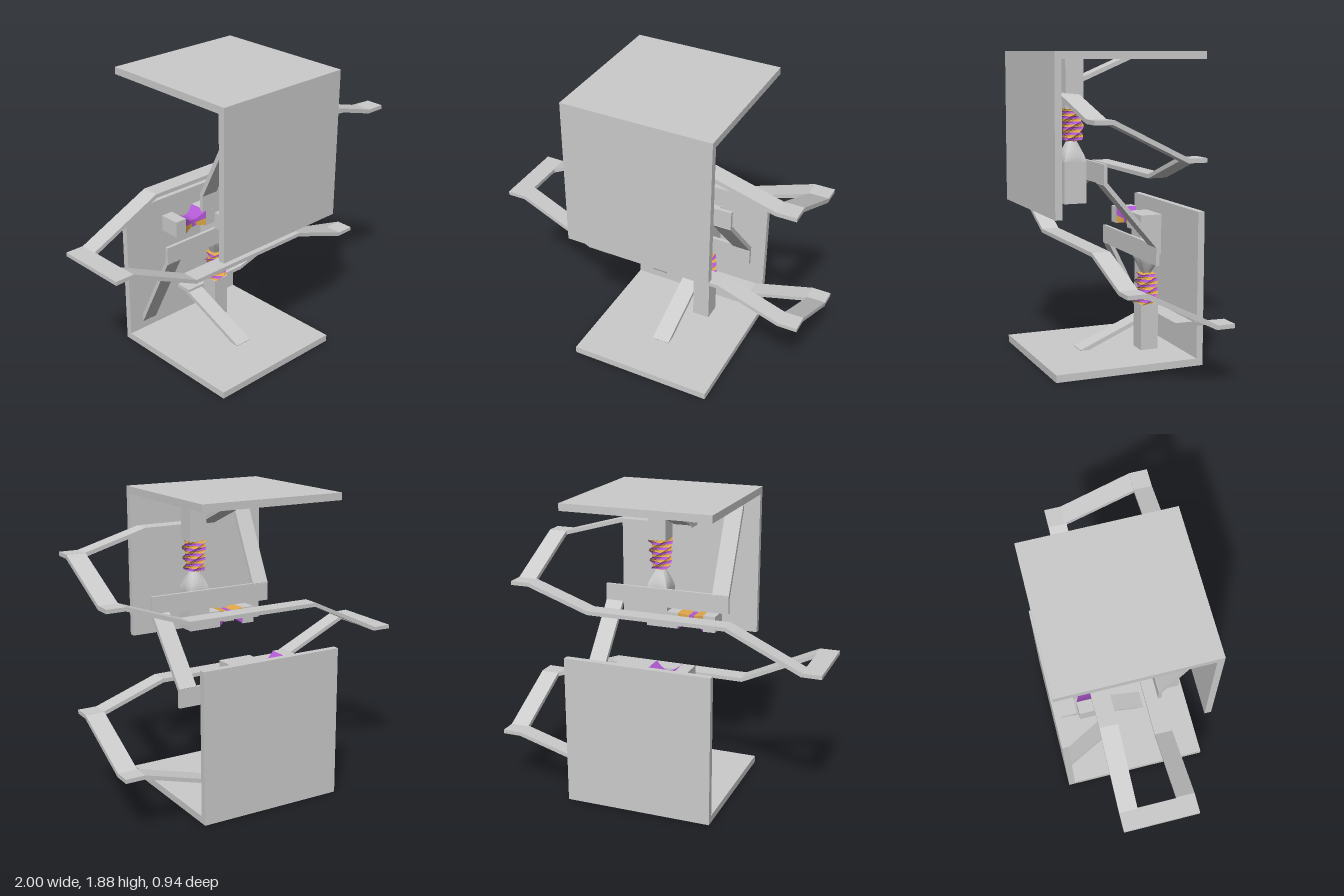
import * as THREE from 'three';

const grey = new THREE.MeshStandardMaterial({ color: 0xcccccc, flatShading: true });
const purple = new THREE.MeshStandardMaterial({ color: 0xb45ad6, flatShading: true });
const orange = new THREE.MeshStandardMaterial({ color: 0xe0a84a, flatShading: true });

function add(group, name, geometry, material = grey) {
  const mesh = new THREE.Mesh(geometry, material);
  mesh.name = name;
  group.add(mesh);
  return mesh;
}

// Box given by its limits on each axis
function box(group, name, [x0, x1], [y0, y1], [z0, z1]) {
  const g = new THREE.BoxGeometry(x1 - x0, y1 - y0, z1 - z0);
  add(group, name, g.translate((x0 + x1) / 2, (y0 + y1) / 2, (z0 + z1) / 2));
}

// Flat band of even thickness along a polyline, extruded by depth
function band(points, thickness, depth) {
  const p = points.map(([x, y]) => new THREE.Vector2(x, y));
  const normals = p.map((v, i) => {
    const a = p[Math.max(i - 1, 0)], b = p[Math.min(i + 1, p.length - 1)];
    const d = b.clone().sub(a).normalize();
    return new THREE.Vector2(-d.y, d.x).multiplyScalar(thickness / 2);
  });
  // strip ends stay square to their own last segment
  const upper = p.map((v, i) => v.clone().add(normals[i]));
  const lower = p.map((v, i) => v.clone().sub(normals[i]));
  const shape = new THREE.Shape([...lower, ...upper.reverse()]);
  return new THREE.ExtrudeGeometry(shape, { depth, bevelEnabled: false });
}

// Band drawn in x/y and running across z0..z1
function strip(group, name, points, z0, z1) {
  add(group, name, band(points, 0.025, z1 - z0).translate(0, 0, z0));
}

// Band drawn in z/y and running across x0..x1
function brace(group, name, points, x0, x1) {
  const g = band(points.map(([z, y]) => [-z, y]), 0.026, x1 - x0);
  add(group, name, g.rotateY(Math.PI / 2).translate(x0, 0, 0));
}

// Skin over rings of points, keeping only the faces that pass the test
function loft(rings, test = () => true) {
  const pos = [], n = rings[0].length;
  for (let i = 0; i < rings.length - 1; i++) {
    for (let j = 0; j < n; j++) {
      if (!test(i, j)) continue;
      const k = (j + 1) % n;
      const a = rings[i][j], b = rings[i][k], c = rings[i + 1][k], d = rings[i + 1][j];
      for (const v of [a, b, c, a, c, d]) pos.push(...v);
    }
  }
  const g = new THREE.BufferGeometry();
  g.setAttribute('position', new THREE.Float32BufferAttribute(pos, 3));
  g.computeVertexNormals();
  return g;
}

// Unit outline blending from circle (0) to square (1)
const SIDES = 16;
function outline(square) {
  return Array.from({ length: SIDES }, (_, j) => {
    const a = (j / SIDES) * Math.PI * 2, c = Math.cos(a), s = Math.sin(a);
    const r = 1 + square * (1 / Math.max(Math.abs(c), Math.abs(s)) - 1);
    return [c * r, s * r];
  });
}

const CX = 0.183, CZ = -0.246;

function column(group) {
  box(group, 'post', [0.126, 0.24], [0.04, 0.335], [-0.303, -0.189]);

  // twisted coloured section
  const levels = 12, twist = [];
  for (let i = 0; i <= levels; i++) {
    const t = i / levels, half = 0.057 - 0.008 * t, turn = t * Math.PI * 1.5;
    const c = Math.cos(turn), s = Math.sin(turn);
    twist.push(outline(1).map(([u, v]) =>
      [CX + half * (u * c - v * s), 0.33 + 0.19 * t, CZ - half * (u * s + v * c)]));
  }
  // closing taper to the waist
  twist.push(outline(0.3).map(([u, v]) => [CX + 0.033 * u, 0.535, CZ - 0.033 * v]));
  add(group, 'twistOrange', loft(twist, (i) => i % 2 === 0), orange);
  add(group, 'twistPurple', loft(twist, (i) => i % 2 === 1), purple);

  // shoulder swelling from a round waist to the square head
  const shoulder = [];
  for (let i = 0; i <= 8; i++) {
    const t = i / 8, half = 0.031 + 0.038 * Math.sin(t * Math.PI / 2);
    shoulder.push(outline(t).map(([u, v]) => [CX + half * u, 0.525 + 0.12 * t, CZ - half * v]));
  }
  add(group, 'shoulder', loft(shoulder));
  box(group, 'head', [0.114, 0.252], [0.645, 0.895], [-0.315, -0.177]);

  // side beam with a pinched coloured saddle between its two ends
  box(group, 'beamRoot', [0.04, 0.114], [0.79, 0.895], [-0.315, -0.177]);
  box(group, 'beamEnd', [-0.21, -0.13], [0.79, 0.895], [-0.315, -0.177]);
  const saddle = [];
  for (let i = 0; i <= 10; i++) {
    const t = i / 10, s = Math.sin(t * Math.PI);
    const top = 0.895 - 0.045 * s, bottom = 0.79 + 0.015 * s;
    saddle.push(outline(1).map(([u, v]) => [
      -0.13 + 0.17 * t,
      (top + bottom) / 2 + u * (top - bottom) / 2,
      CZ + v * 0.069 * (1 - 0.35 * s)]));
  }
  const isLow = (i, j) => j >= 4 && j < 12 && Math.abs(i - 4.5) > 1;
  add(group, 'saddleOrange', loft(saddle, isLow), orange);
  add(group, 'saddlePurple', loft(saddle, (i, j) => !isLow(i, j)), purple);
}

// One half: floor, wall, column, rail, braces and walkway
function createHalf() {
  const half = new THREE.Group();
  box(half, 'floor', [-0.41, 0.525], [0, 0.045], [-0.47, 0.47]);
  box(half, 'wall', [-0.41, 0.525], [0.045, 0.942], [-0.47, -0.428]);
  column(half);

  box(half, 'rail', [-0.305, 0.525], [0.637, 0.755], [-0.176, -0.155]);
  brace(half, 'railBrace', [[-0.44, 0.1], [-0.166, 0.65]], -0.305, -0.195);
  brace(half, 'floorBrace', [[0.16, 0.037], [-0.35, 0.252]], 0, 0.115);

  strip(half, 'upperWalkway', [[-1, 0.943], [-0.88, 0.943], [-0.41, 0.722],
    [0.48, 0.722], [0.88, 0.583], [1, 0.583]], 0.12, 0.233);
  strip(half, 'lowerWalkway', [[0, 0.253], [0.48, 0.253], [0.88, 0.367], [1, 0.367]], -0.42, -0.308);
  brace(half, 'walkwayLink', [[0.125, 0.583], [-0.313, 0.367]], 0.88, 1);
  return half;
}

export function createModel() {
  const model = new THREE.Group();
  const lower = createHalf();
  lower.name = 'lowerHalf';

  // the other half is the same, turned over about the x axis
  const upper = createHalf();
  upper.name = 'upperHalf';
  upper.rotation.x = Math.PI;
  upper.position.y = 1.885;
  model.add(lower, upper);

  // shared parts joining the two halves
  box(model, 'walkwayEnd', [-1, -0.88], [0.93, 0.955], [-0.12, 0.12]);
  brace(model, 'railLink', [[-0.168, 0.748], [0.168, 1.137]], 0.41, 0.525);
  return model;
}
